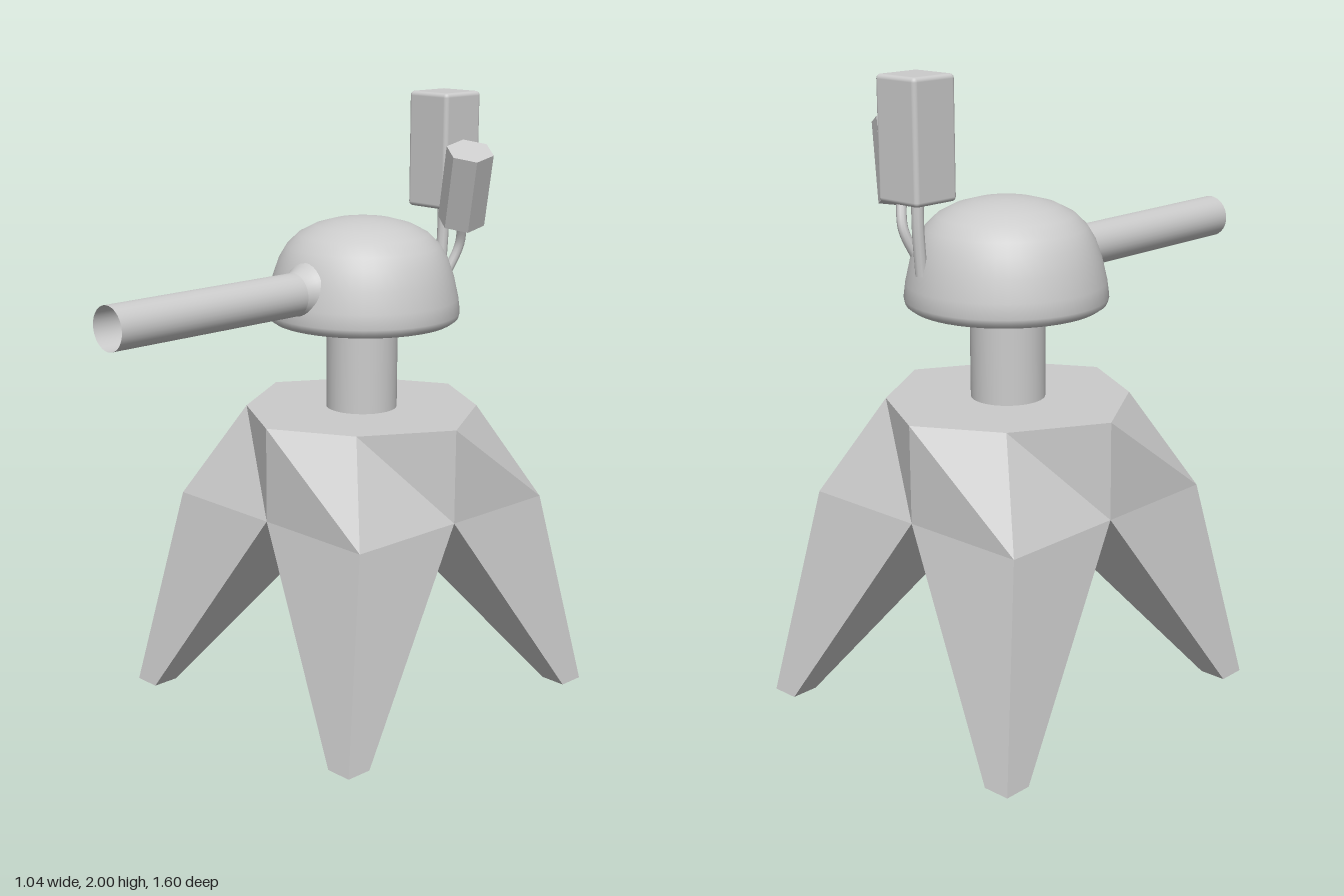
import * as THREE from 'three';
import { RoundedBoxGeometry } from 'three/addons/geometries/RoundedBoxGeometry.js';
import { toCreasedNormals } from 'three/addons/utils/BufferGeometryUtils.js';

const CENTER_Z = -0.24;
const material = new THREE.MeshStandardMaterial({ color: 0xcccccc });
const flat = new THREE.MeshStandardMaterial({ color: 0xcccccc, flatShading: true });
const thin = new THREE.MeshStandardMaterial({ color: 0xcccccc, side: THREE.DoubleSide });

const V = (x, y, z) => new THREE.Vector3(x, y, z);

function add(parent, name, geometry, mat = material) {
  const mesh = new THREE.Mesh(geometry, mat);
  mesh.name = name;
  parent.add(mesh);
  return mesh;
}

function lathe(points, segments = 48) {
  const curve = points.map(([r, y]) => new THREE.Vector2(r, y));
  return toCreasedNormals(new THREE.LatheGeometry(curve, segments), 0.8);
}

// One faceted quarter of the base with its leg; corners are mirrored by sx, sz
function legGeometry(sx, sz) {
  const H = 0.425, T = 0.98, M = 0.67;
  const topX = [H, T, 0], topD = [0.26, T, 0.28], topZ = [0, T, H], topC = [0, T, 0];
  const midX = [H, M, 0], hip = [H, M, H], midZ = [0, M, H], midC = [0, M, 0];
  const footX = [0.52, 0, 0.47], footO = [0.52, 0, 0.56], footZ = [0.43, 0, 0.56], footI = [0.43, 0, 0.47];
  const faces = [
    [topC, topZ, topD, topX],     // deck
    [topZ, midZ, hip, topD],      // front shoulder
    [topD, hip, midX, topX],      // side shoulder
    [midZ, footZ, footO, hip],    // outer leg faces
    [hip, footO, footX, midX],
    [midC, footI, footZ, midZ],   // underside
    [midX, footX, footI, midC],
    [footI, footX, footO, footZ], // sole
  ];
  const positions = [];
  for (const face of faces) {
    const f = sx * sz < 0 ? [...face].reverse() : face;
    for (const i of [0, 1, 2, 0, 2, 3]) positions.push(f[i][0] * sx, f[i][1], f[i][2] * sz);
  }
  const g = new THREE.BufferGeometry();
  g.setAttribute('position', new THREE.Float32BufferAttribute(positions, 3));
  g.computeVertexNormals();
  return g;
}

// Thin bent stalk through a few points
function stalk(points, radius) {
  return new THREE.TubeGeometry(new THREE.CatmullRomCurve3(points), 14, radius, 10);
}

export function createModel() {
  const model = new THREE.Group();
  model.name = 'turret';

  // Four-legged base
  const base = new THREE.Group();
  base.name = 'base';
  base.position.z = CENTER_Z;
  for (const sx of [1, -1]) {
    for (const sz of [1, -1]) {
      add(base, (sz > 0 ? 'front' : 'back') + (sx > 0 ? 'Left' : 'Right') + 'Leg', legGeometry(sx, sz), flat);
    }
  }
  model.add(base);

  // Swivel post
  add(model, 'post', new THREE.CylinderGeometry(0.117, 0.117, 0.32, 32)).position.set(0, 1.13, CENTER_Z);

  // Domed head with rounded lower rim
  add(model, 'head', lathe([
    [0, 1.268], [0.26, 1.268], [0.295, 1.273], [0.312, 1.285], [0.317, 1.303], [0.311, 1.35],
    [0.295, 1.42], [0.274, 1.48], [0.25, 1.52], [0.212, 1.557], [0.16, 1.584], [0.1, 1.601],
    [0.05, 1.608], [0, 1.61],
  ])).position.z = CENTER_Z - 0.003;

  // Open barrel and the flared collar blending it into the head
  const barrel = new THREE.Group();
  barrel.name = 'gun';
  barrel.position.set(0.01, 1.398, 0);
  barrel.rotation.x = Math.PI / 2;
  add(barrel, 'barrel', new THREE.CylinderGeometry(0.069, 0.069, 0.76, 32, 1, true), thin).position.y = 0.42;
  add(barrel, 'collar', lathe([
    [0.13, -0.05], [0.118, -0.015], [0.1, 0.015], [0.083, 0.04], [0.073, 0.057], [0.069, 0.075],
  ], 32), thin);
  model.add(barrel);

  // Upright box sensor on its stalk
  add(model, 'boxSensor', new RoundedBoxGeometry(0.166, 0.374, 0.166, 3, 0.014)).position.set(0.078, 1.813, -0.535);
  add(model, 'boxStalk', stalk([V(0.08, 1.65, -0.535), V(0.08, 1.54, -0.535), V(0.08, 1.4, -0.525)], 0.019));

  // Leaning hexagonal sensor on its stalk
  const low = V(0.23, 1.6, -0.457), high = V(0.308, 1.835, -0.405);
  const axis = high.clone().sub(low);
  const pod = add(model, 'hexSensor', new THREE.CylinderGeometry(0.076, 0.076, axis.length(), 6), flat);
  pod.position.copy(low).add(high).multiplyScalar(0.5);
  pod.quaternion.setFromUnitVectors(V(0, 1, 0), axis.normalize());
  add(model, 'hexStalk', stalk([V(0.235, 1.615, -0.455), V(0.205, 1.52, -0.48), V(0.18, 1.42, -0.445)], 0.016));

  return model;
}
